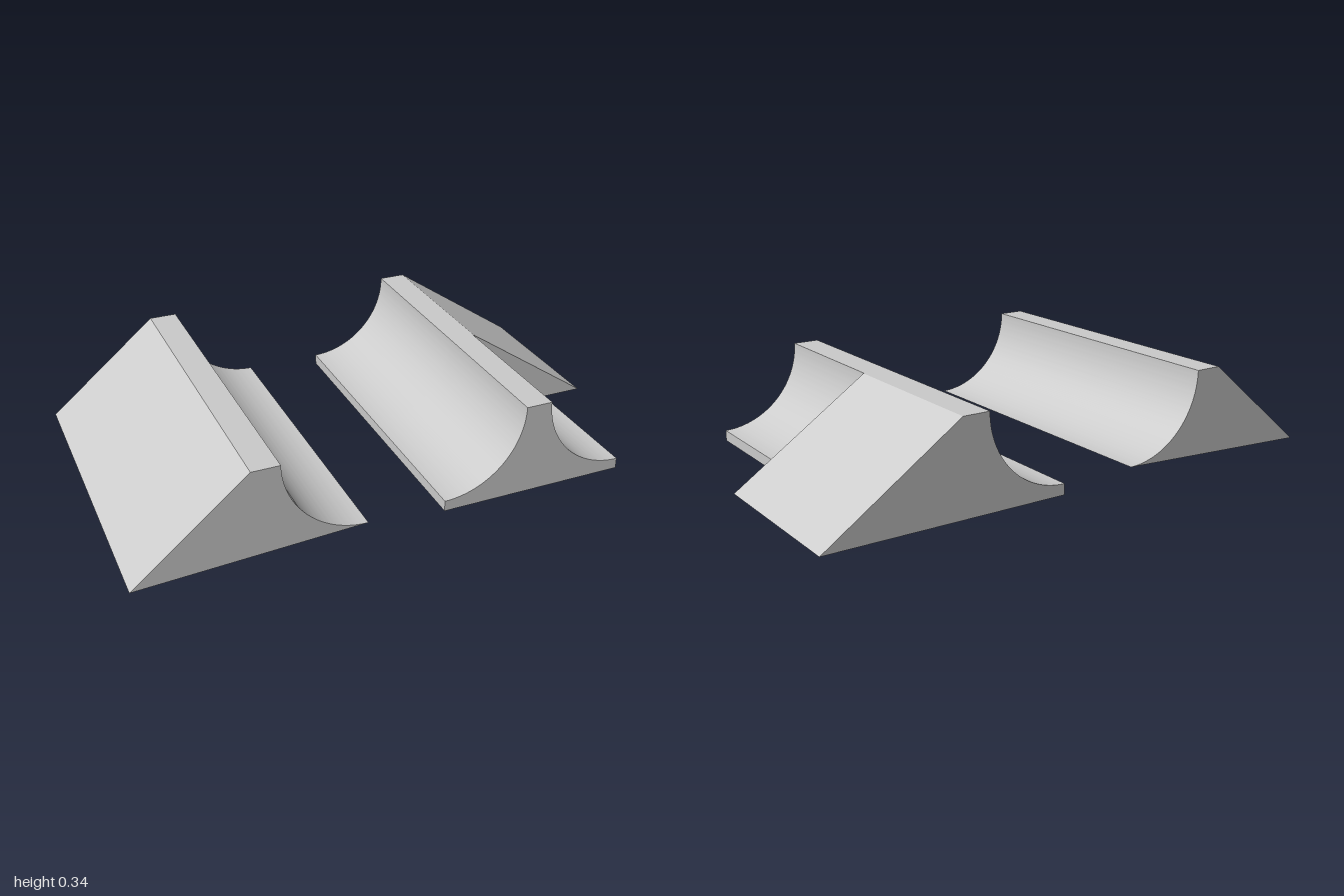
import * as THREE from 'three';
import { toCreasedNormals } from 'three/addons/utils/BufferGeometryUtils.js';

const HEIGHT = 0.34; // crest height, also the height of the cove centres
const RADIUS = 0.3;  // cove radius, leaving a 0.04 lip at the foot

const material = new THREE.MeshStandardMaterial({ color: 0xcccccc });

// Extrudes a profile along z between two depths, keeping the coves smooth
function profileMesh(name, shape, zBack, zFront) {
  const geometry = new THREE.ExtrudeGeometry(shape, {
    depth: zFront - zBack,
    bevelEnabled: false,
    curveSegments: 32,
  });
  geometry.translate(0, 0, zBack);
  const mesh = new THREE.Mesh(toCreasedNormals(geometry, Math.PI / 7), material);
  mesh.name = name;
  return mesh;
}

export function createModel() {
  const group = new THREE.Group();
  group.name = 'coveBlocks';

  // Full-length block: outer slope, narrow crest, cove towards the middle
  const right = new THREE.Shape();
  right.moveTo(-0.19, 0);
  right.absarc(-0.19, HEIGHT, RADIUS, 1.5 * Math.PI, Math.PI, true);
  right.lineTo(-0.59, HEIGHT);
  right.lineTo(-1, 0);
  right.closePath();
  group.add(profileMesh('rightBlock', right, -0.6, 0.6));

  // Rear half of the stepped block: cove inside, slope outside
  const rear = new THREE.Shape();
  rear.moveTo(0.1, 0);
  rear.lineTo(1, 0);
  rear.lineTo(0.5, HEIGHT);
  rear.absarc(0.1, HEIGHT, RADIUS, 0, -0.5 * Math.PI, true);
  rear.closePath();

  // Front half of the stepped block: coves on both sides of the crest
  const front = new THREE.Shape();
  front.moveTo(0.1, 0);
  front.lineTo(0.797, 0);
  front.absarc(0.797, HEIGHT, RADIUS, 1.5 * Math.PI, Math.PI, true);
  front.absarc(0.1, HEIGHT, RADIUS, 0, -0.5 * Math.PI, true);
  front.closePath();

  const left = new THREE.Group();
  left.name = 'leftBlock';
  left.add(
    profileMesh('slopedRearSection', rear, -0.6, 0.03),
    profileMesh('covedFrontSection', front, 0.03, 0.59),
  );
  group.add(left);

  return group;
}
